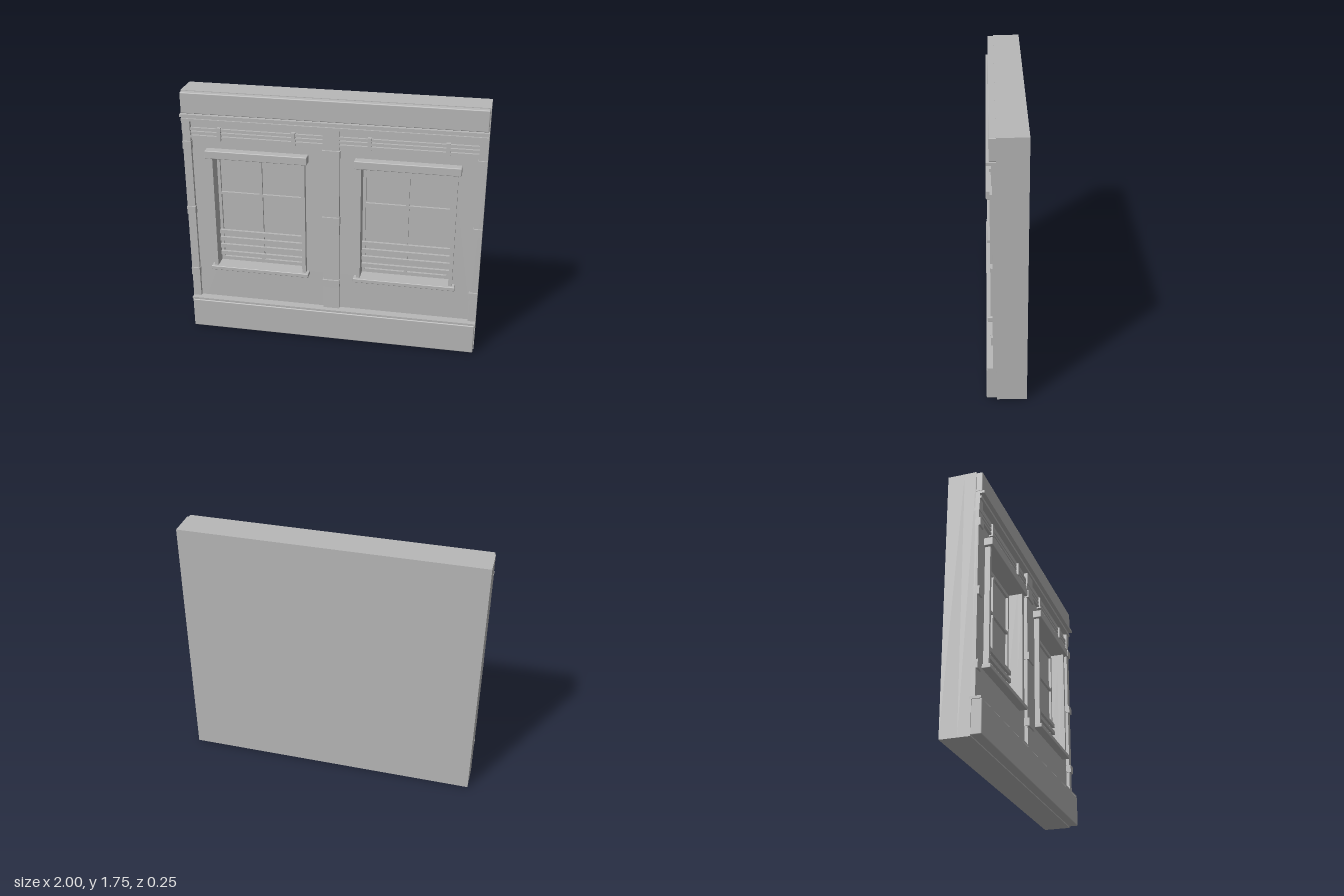
import * as THREE from 'three';
import { RoundedBoxGeometry } from 'three/addons/geometries/RoundedBoxGeometry.js';

export function createModel() {
  const model = new THREE.Group();
  model.name = 'wallPanel';
  const stone = new THREE.MeshStandardMaterial({ color: 0xb8b8b8 });
  stone.name = 'grey plaster';

  const add = (parent, name, geometry) => {
    const mesh = new THREE.Mesh(geometry, stone);
    mesh.name = name;
    parent.add(mesh);
    return mesh;
  };
  // Box given by its limits; a bevel rounds its edges
  const box = (parent, name, x0, x1, y0, y1, z0, z1, bevel = 0) => {
    const size = [x1 - x0, y1 - y0, z1 - z0];
    const geometry = bevel
      ? new RoundedBoxGeometry(...size, 1, bevel)
      : new THREE.BoxGeometry(...size);
    geometry.translate((x0 + x1) / 2, (y0 + y1) / 2, (z0 + z1) / 2);
    return add(parent, name, geometry);
  };
  const rectangle = (Type, x0, x1, y0, y1) => new Type([
    new THREE.Vector2(x0, y0), new THREE.Vector2(x1, y0),
    new THREE.Vector2(x1, y1), new THREE.Vector2(x0, y1),
  ]);
  // Plate with rectangular openings
  const plate = (parent, name, outer, holes, z0, z1) => {
    const shape = rectangle(THREE.Shape, ...outer);
    shape.holes = holes.map((h) => rectangle(THREE.Path, ...h));
    const geometry = new THREE.ExtrudeGeometry(shape, { depth: z1 - z0, bevelEnabled: false });
    geometry.translate(0, 0, z0);
    return add(parent, name, geometry);
  };

  const WALL = 0.062;   // face of the wall
  const PANE = -0.015;  // face of the window panes

  // Solid back and front skin with two window openings
  box(model, 'wallCore', -1, 1, 0, 1.75, -0.125, PANE);
  plate(model, 'wallFace', [-1, 1, 0, 1.75],
    [[-0.8, -0.2, 0.5, 1.305], [0.2, 0.8, 0.5, 1.305]], PANE, WALL);

  // Base and top bands
  box(model, 'baseBoard', -0.995, 0.995, 0.008, 0.22, 0.05, 0.125, 0.006);
  box(model, 'baseLedge', -1, 1, 0.218, 0.235, 0.05, 0.12);
  box(model, 'topBand', -0.995, 0.995, 1.605, 1.746, 0.05, 0.103, 0.006);
  box(model, 'corniceUpper', -1, 1, 1.585, 1.603, 0.05, 0.118);
  box(model, 'corniceNeck', -1, 1, 1.568, 1.585, 0.05, 0.088);
  box(model, 'corniceLower', -1, 1, 1.55, 1.568, 0.05, 0.1);

  // Pilasters with raised bands
  for (const [x0, x1] of [[-1, -0.945], [-0.055, 0.055], [0.945, 1]]) {
    box(model, 'pilaster', x0, x1, 0.235, 1.55, 0.05, 0.085);
    box(model, 'pilasterCapital', x0, x1, 1.465, 1.55, 0.05, 0.089);
    for (const y of [0.405, 0.88, 1.355]) {
      box(model, 'pilasterBand', Math.max(x0 - 0.004, -1), Math.min(x1 + 0.004, 1),
        y, y + 0.054, 0.05, 0.097);
    }
  }

  for (const side of [-1, 1]) {
    const bay = new THREE.Group();
    bay.name = side < 0 ? 'rightBay' : 'leftBay';
    bay.position.x = side * 0.5;
    model.add(bay);

    // Horizontal rails held by brackets
    for (const y of [1.432, 1.459, 1.485]) {
      box(bay, 'rail', -0.445, 0.445, y, y + 0.016, 0.05, 0.079);
    }
    for (const x of [-0.25, 0.25]) {
      box(bay, 'railBracket', x - 0.013, x + 0.013, 1.422, 1.51, 0.05, 0.09);
    }

    // Window surround
    box(bay, 'lintel', -0.345, 0.345, 1.305, 1.36, 0.05, 0.12, 0.005);
    box(bay, 'sill', -0.345, 0.345, 0.472, 0.5, 0.05, 0.116, 0.004);
    for (const s of [-1, 1]) {
      const x = s * 0.3125;
      box(bay, 'jamb', x - 0.0125, x + 0.0125, 0.5, 1.305, 0.05, 0.097);
    }

    // Sash with four panes
    const panes = [];
    for (const [x0, x1] of [[-0.28, -0.01], [0.01, 0.28]]) {
      panes.push([x0, x1, 0.525, 1.002], [x0, x1, 1.02, 1.278]);
    }
    plate(bay, 'sash', [-0.3, 0.3, 0.5, 1.305], panes, PANE, 0.002);

    // Slats across the lower panes
    for (let i = 0; i < 4; i++) {
      const y = 0.545 + i * 0.055;
      box(bay, 'slat', -0.3, 0.3, y, y + 0.028, 0.001, 0.02);
    }
  }
  return model;
}
